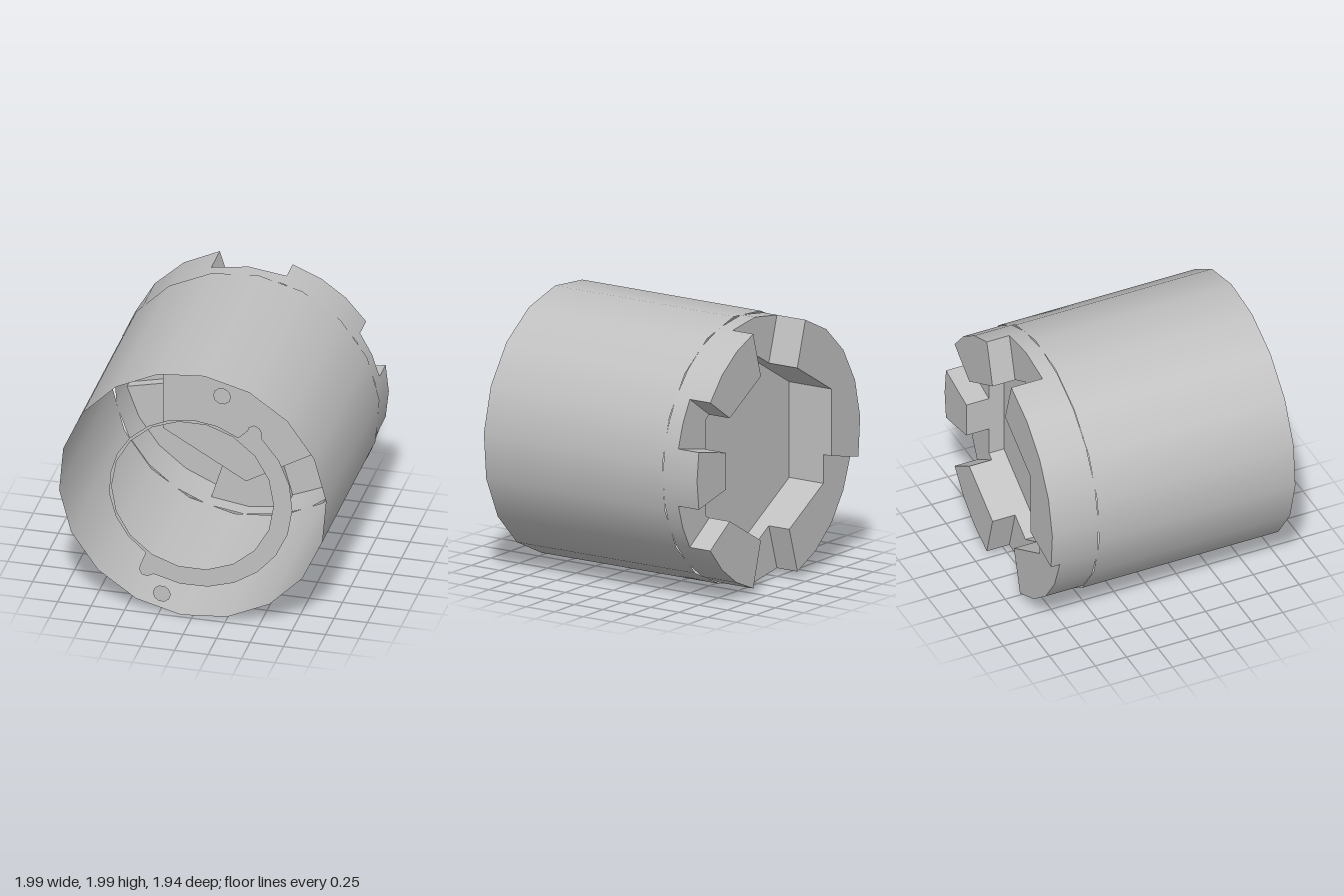
import * as THREE from 'three';

const BACK = -0.72, FLOOR = -0.6, FRONT = 0.97;
const rad = (deg) => (deg * Math.PI) / 180;
const polar = (r, deg) => new THREE.Vector2(r * Math.cos(rad(deg)), r * Math.sin(rad(deg)));

// radius of the hexagonal pocket (points up and down) at an angle
const hexRadius = (deg) => 0.62 / Math.cos(rad(((deg + 750) % 60) - 30));

// points on an arc
function arc(r, from, to, n) {
  return Array.from({ length: n + 1 }, (_, i) => polar(r, from + ((to - from) * i) / n));
}

// pocket outline between two angles, including the hexagon corners
function hexArc(from, to) {
  const angles = [from];
  for (let c = -90; c <= 270; c += 60) if (c > from && c < to) angles.push(c);
  angles.push(to);
  return angles.map((a) => polar(hexRadius(a), a));
}

// flat-faced wall along a line of points, from z0 to z1
function wall(points, z0, z1) {
  const pos = [];
  for (let i = 0; i < points.length - 1; i++) {
    const a = points[i], b = points[i + 1];
    pos.push(a.x, a.y, z0, a.x, a.y, z1, b.x, b.y, z1);
    pos.push(a.x, a.y, z0, b.x, b.y, z1, b.x, b.y, z0);
  }
  const g = new THREE.BufferGeometry();
  g.setAttribute('position', new THREE.Float32BufferAttribute(pos, 3));
  g.computeVertexNormals();
  return g;
}

// smooth open round wall along z
function roundWall(r, z0, z1, from, to, segments) {
  const g = new THREE.CylinderGeometry(r, r, z1 - z0, segments, 1, true, rad(from + 90), rad(to - from));
  return g.rotateX(Math.PI / 2).translate(0, 0, (z0 + z1) / 2);
}

export function createModel() {
  const grey = new THREE.MeshStandardMaterial({ color: 0xc0c0c0, side: THREE.DoubleSide });
  grey.name = 'plainGrey';
  const model = new THREE.Group();
  model.name = 'castellatedSleeve';
  const body = new THREE.Group();
  body.name = 'sleeveBody';
  body.position.y = 1;
  model.add(body);
  const add = (name, geometry, z = 0) => {
    const mesh = new THREE.Mesh(geometry, grey);
    mesh.name = name;
    mesh.position.z = z;
    body.add(mesh);
  };

  // main open sleeve
  add('outerSleeve', roundWall(1, FLOOR, FRONT, 5, 365, 18));

  // lugs and gaps around the back: start angle, end angle, height in z
  const sectors = [
    [-107, -74, BACK], [-74, -34, -0.9], [-34, -12.5, BACK], [-12.5, 12.5, -0.9],
    [12.5, 34, BACK], [34, 74, -0.9], [74, 107, BACK], [107, 193, -0.97], [193, 253, -0.9],
  ];
  sectors.forEach(([from, to, z], i) => {
    const name = z === BACK ? 'gap' : 'lug';
    const n = Math.ceil((to - from) / 19);
    const inner = hexArc(from, to);
    const outline = [...arc(0.99, from, to, n), ...inner.slice().reverse()];
    const plate = new THREE.ShapeGeometry(new THREE.Shape(outline));
    plate.rotateY(Math.PI).scale(-1, 1, 1); // keeps x while turning the plate to the back
    const index = plate.index.array;
    for (let k = 0; k < index.length; k += 3) [index[k], index[k + 1]] = [index[k + 1], index[k]];
    add(name + 'Face', plate, z);
    add(name + 'OuterWall', roundWall(0.99, z, FLOOR, from, to, n));
    add(name + 'PocketWall', wall(inner, FLOOR, z));
    // radial side wall shared with the previous sector
    const previous = sectors[(i + sectors.length - 1) % sectors.length][2];
    const side = [polar(hexRadius(from), from), polar(0.99, from)];
    add('lugSide', previous > z ? wall(side, previous, z) : wall(side.reverse(), z, previous));
  });

  // floor of the hexagonal pocket
  const floor = new THREE.ShapeGeometry(new THREE.Shape(hexArc(-90, 270).slice(0, 6)));
  floor.rotateY(Math.PI);
  add('pocketFloor', floor, FLOOR);

  // stepped front ring with two keyhole notches
  const v = (x, y) => new THREE.Vector2(x, y);
  const ring = new THREE.Shape([
    ...arc(0.745, -113, 46, 10),
    v(0.52, 0.58), v(0.5, 0.62), v(0.46, 0.64), v(0.42, 0.62), v(0.41, 0.59),
    ...arc(0.625, 57, 236, 11),
    v(-0.39, -0.62), v(-0.4, -0.66), v(-0.38, -0.7), v(-0.34, -0.71),
  ]);
  ring.holes.push(new THREE.Path(arc(0.605, 0, 360, 18).slice(0, 18)));
  add('frontRing', new THREE.ShapeGeometry(ring), FRONT);

  // two small pin ends
  for (const [x, y] of [[0.22, 0.85], [-0.23, -0.84]]) {
    add('pinEnd', new THREE.CircleGeometry(0.067, 10).translate(x, y, 0), FRONT);
  }
  return model;
}
